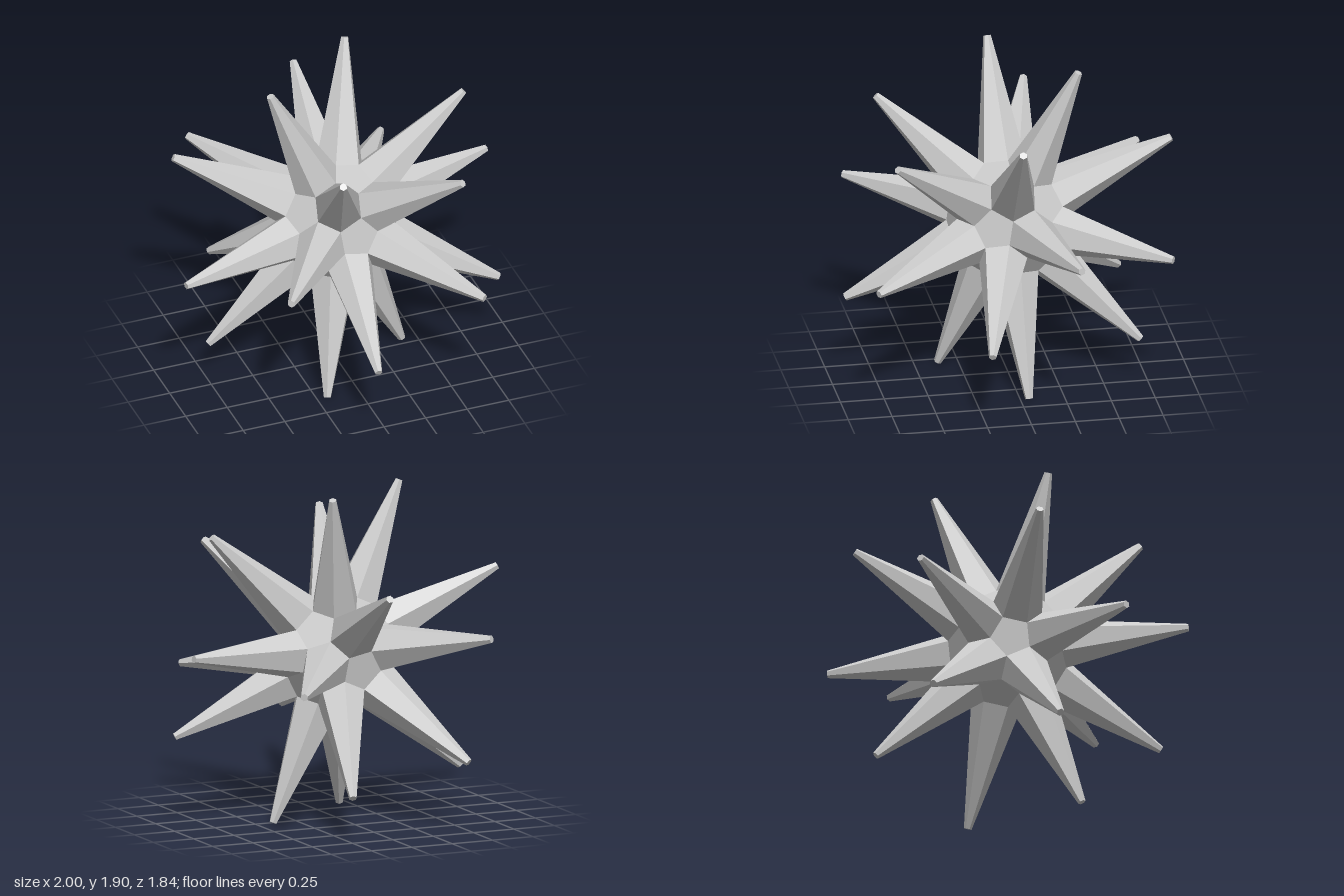
import * as THREE from 'three';

const PHI = (1 + Math.sqrt(5)) / 2;
const EDGE = 0.14;        // edge length of the truncated-icosahedron core
const TIP_DISTANCE = 1.027;
const TIP_RADIUS = 0.022;

// Unit directions for the cyclic permutations of (+-a, +-b, 0)
function cyclicDirections(a, b) {
  const dirs = [];
  for (const s of [-1, 1]) for (const t of [-1, 1]) {
    const p = [s * a, t * b, 0];
    for (let k = 0; k < 3; k++) {
      dirs.push(new THREE.Vector3(p[k], p[(k + 1) % 3], p[(k + 2) % 3]).normalize());
    }
  }
  return dirs;
}

// Place a part along dir (its +y), with its +x turned towards the nearest neighbour
function placeAlong(mesh, dir, dirs, distance) {
  const others = dirs.filter((d) => d !== dir);
  const near = others.reduce((m, d) => (d.dot(dir) > m.dot(dir) ? d : m));
  const x = near.clone().addScaledVector(dir, -near.dot(dir)).normalize();
  const z = new THREE.Vector3().crossVectors(x, dir);
  mesh.quaternion.setFromRotationMatrix(new THREE.Matrix4().makeBasis(x, dir, z));
  mesh.position.copy(dir).multiplyScalar(distance);
}

export function createModel() {
  const model = new THREE.Group();
  model.name = 'spikedBall';
  const material = new THREE.MeshStandardMaterial({ color: 0xcccccc, flatShading: true });

  const ball = new THREE.Group();
  ball.name = 'ball';
  model.add(ball);

  // Twenty six-sided spikes, one on each hexagon of the core
  const spikeDirs = cyclicDirections(1 / PHI, PHI);
  for (const s of [-1, 1]) for (const t of [-1, 1]) for (const u of [-1, 1]) {
    spikeDirs.push(new THREE.Vector3(s, t, u).normalize());
  }
  const baseDistance = 2.267 * EDGE;
  const length = TIP_DISTANCE - baseDistance;
  const spikeGeometry = new THREE.CylinderGeometry(TIP_RADIUS, EDGE, length, 6);
  spikeGeometry.translate(0, length / 2, 0);
  for (const dir of spikeDirs) {
    const spike = new THREE.Mesh(spikeGeometry, material);
    spike.name = 'spike';
    placeAlong(spike, dir, spikeDirs, baseDistance);
    ball.add(spike);
  }

  // Twelve flat pentagons of the core between the spikes
  const panelDirs = cyclicDirections(PHI, 1);
  const panelGeometry = new THREE.CircleGeometry(EDGE * 0.8507, 5);
  panelGeometry.rotateX(-Math.PI / 2);
  for (const dir of panelDirs) {
    const panel = new THREE.Mesh(panelGeometry, material);
    panel.name = 'corePanel';
    placeAlong(panel, dir, panelDirs, 2.327 * EDGE);
    ball.add(panel);
  }

  // Tilt and turn the whole ball
  const a = THREE.MathUtils.degToRad(34.3);
  const t = THREE.MathUtils.degToRad(11.7);
  const u = new THREE.Vector3(Math.cos(a), 0, -Math.sin(a));
  const v = new THREE.Vector3(-Math.sin(t) * Math.sin(a), Math.cos(t), -Math.sin(t) * Math.cos(a));
  const w = new THREE.Vector3().crossVectors(u, v);
  ball.quaternion.setFromRotationMatrix(new THREE.Matrix4().makeBasis(u, v, w));
  ball.position.y = 0.95;
  return model;
}
